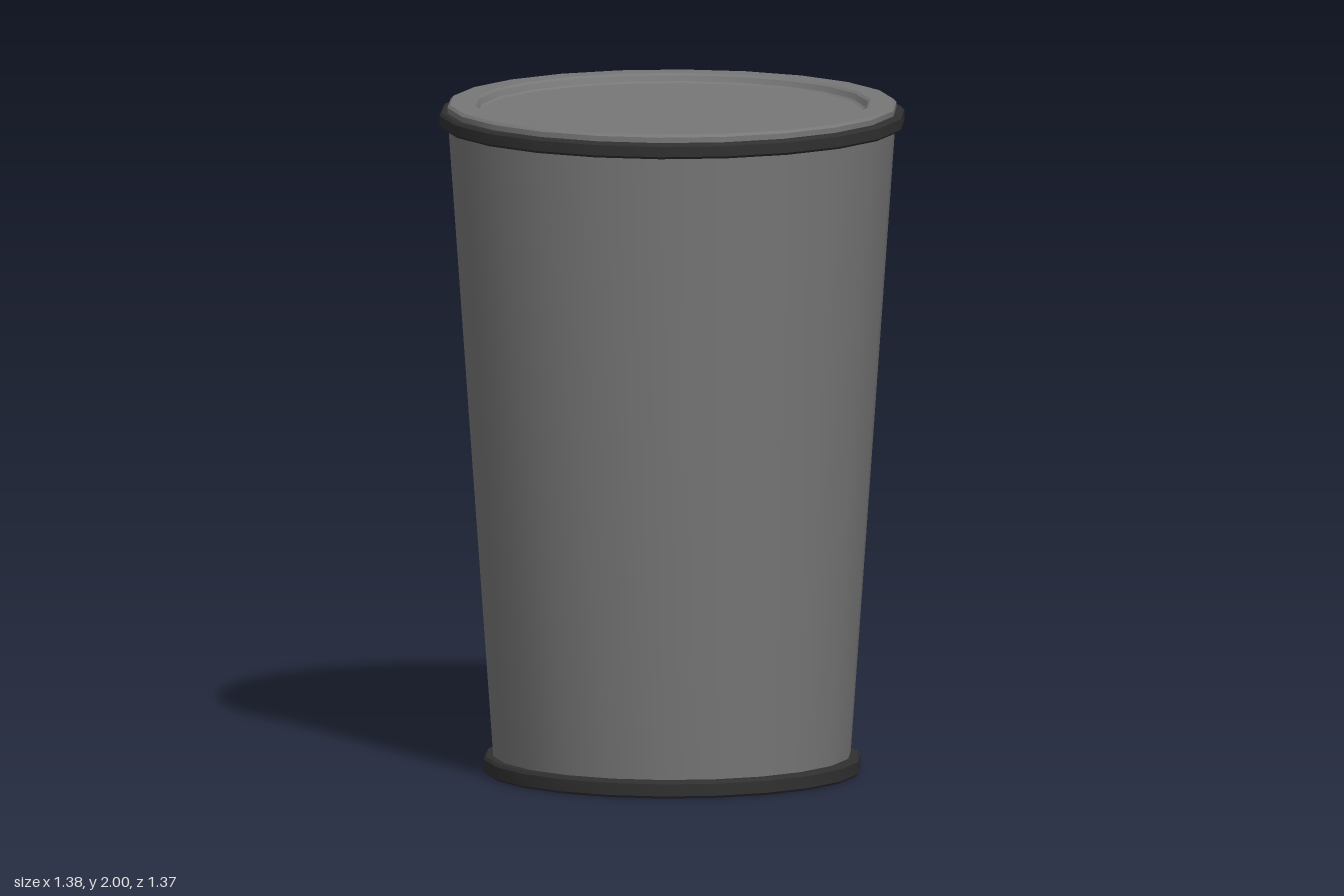
import * as THREE from 'three';
import { toCreasedNormals } from 'three/addons/utils/BufferGeometryUtils.js';

const SIDES = 22;
const grey = new THREE.MeshStandardMaterial({ color: 0x777777 });
const dark = new THREE.MeshStandardMaterial({ color: 0x303030 });

// Turns a [radius, height] profile, listed from the bottom up, around the y axis
function turned(name, profile, material) {
  const points = profile.map(([r, y]) => new THREE.Vector2(r, y));
  const lathe = new THREE.LatheGeometry(points, SIDES, Math.PI / 2);
  const mesh = new THREE.Mesh(toCreasedNormals(lathe, 0.45), material);
  mesh.name = name;
  return mesh;
}

export function createModel() {
  const group = new THREE.Group();
  group.name = 'liddedCup';

  // Solid foot with softened edges
  group.add(turned('base', [
    [0, 0], [0.553, 0], [0.56, 0.007], [0.56, 0.043], [0.553, 0.052], [0.5, 0.052],
  ], dark));

  // Tapered wall
  group.add(turned('body', [[0.53, 0.04], [0.665, 1.95]], grey));

  // Protruding band around the mouth
  group.add(turned('rim', [
    [0.64, 1.93], [0.683, 1.93], [0.69, 1.937], [0.69, 1.968], [0.683, 1.976], [0.64, 1.976],
  ], dark));

  // Lid with a shallow recessed centre
  group.add(turned('lid', [
    [0.667, 1.95], [0.667, 1.992], [0.659, 2], [0.59, 2],
    [0.582, 1.994], [0.574, 1.978], [0.566, 1.973], [0, 1.973],
  ], grey));

  return group;
}
